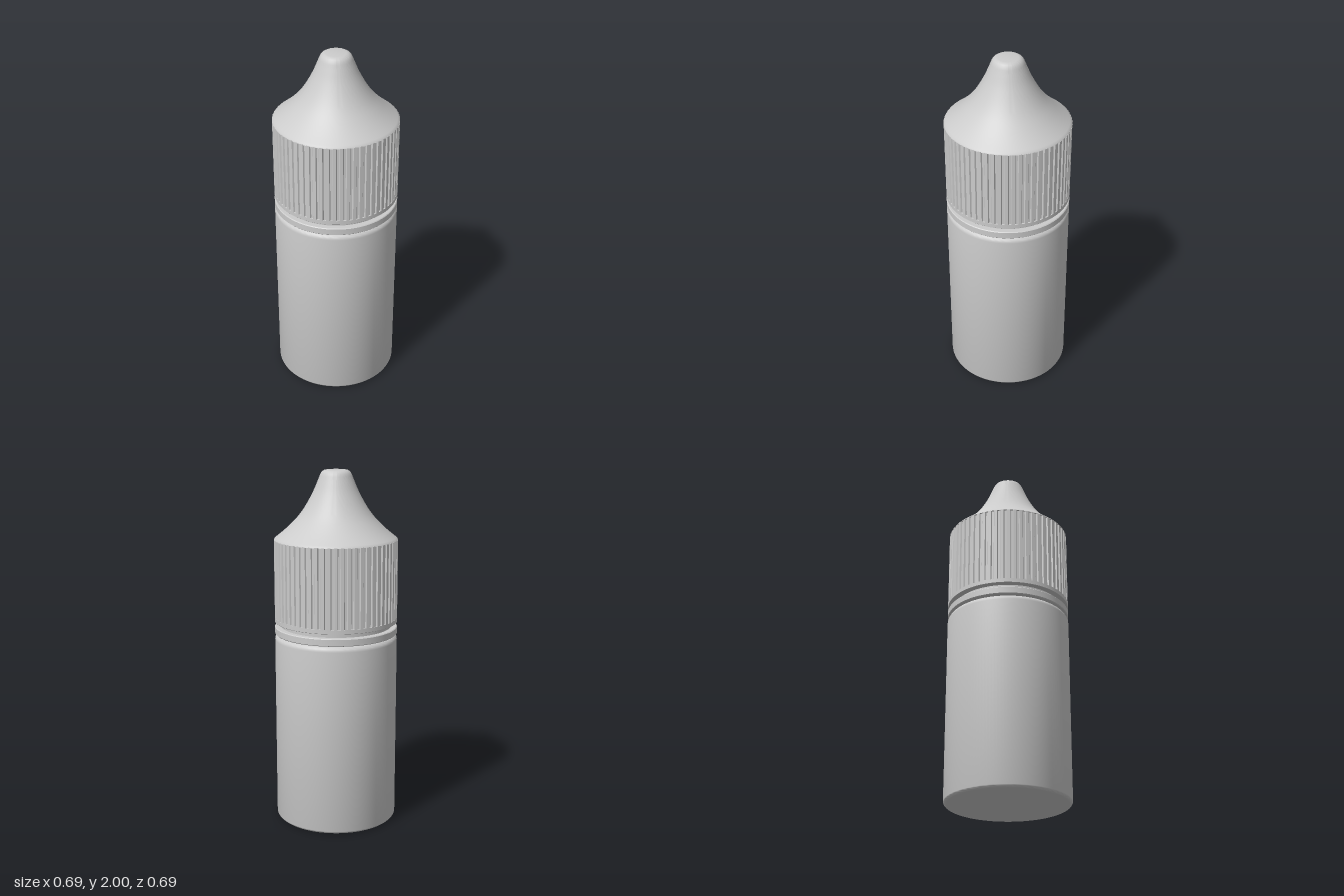
import * as THREE from 'three';
import { toCreasedNormals } from 'three/addons/utils/BufferGeometryUtils.js';

const R = 0.345;
const RIBS = 60;
const material = new THREE.MeshStandardMaterial({ color: 0xcccccc });

// Turned part from [radius, height] points, listed bottom to top
function turned(name, points) {
  const profile = points.map(([r, y]) => new THREE.Vector2(r, y));
  const mesh = new THREE.Mesh(toCreasedNormals(new THREE.LatheGeometry(profile, 120), 0.6), material);
  mesh.name = name;
  return mesh;
}

// Quarter-round corner points about (r, y) from angle a to angle b
function corner(r, y, radius, a, b, steps = 6) {
  return Array.from({ length: steps + 1 }, (_, i) => {
    const t = a + (b - a) * i / steps;
    return [r + radius * Math.cos(t), y + radius * Math.sin(t)];
  });
}

// Ribbed grip: a toothed outline extruded upward
function ribbedGrip(bottom, top) {
  const inner = R - 0.008;
  const shape = new THREE.Shape();
  const step = Math.PI * 2 / RIBS;
  for (let i = 0; i < RIBS; i++) {
    [[0, inner], [0.3, inner], [0.42, R], [0.88, R]].forEach(([f, r], k) => {
      const a = (i + f) * step;
      shape[i + k === 0 ? 'moveTo' : 'lineTo'](r * Math.cos(a), r * Math.sin(a));
    });
  }
  shape.closePath();
  const geometry = new THREE.ExtrudeGeometry(shape, { depth: top - bottom, bevelEnabled: false });
  geometry.rotateX(-Math.PI / 2).translate(0, bottom, 0);
  const mesh = new THREE.Mesh(toCreasedNormals(geometry, 0.3), material);
  mesh.name = 'ribbedGrip';
  return mesh;
}

export function createModel() {
  const group = new THREE.Group();
  group.name = 'dropperBottle';

  // Bottle with rounded base and shoulder
  group.add(turned('bottleBody', [
    [0, 0],
    ...corner(R - 0.02, 0.02, 0.02, -Math.PI / 2, 0),
    ...corner(R - 0.03, 1.055, 0.03, 0, Math.PI / 2),
    [0, 1.085],
  ]));

  // Neck, seen in the gaps around the tamper ring
  group.add(turned('neck', [[0, 1.07], [0.312, 1.07], [0.312, 1.17], [0, 1.17]]));

  // Tamper-evident ring
  group.add(turned('tamperRing', [
    [0.3, 1.088], [R - 0.004, 1.088], [R, 1.092], [R, 1.126], [R - 0.004, 1.13], [0.3, 1.13],
  ]));

  // Plain rim under the ribs
  group.add(turned('capRim', [
    [0.3, 1.156], [R - 0.002, 1.156], [R, 1.158], [R, 1.18], [0.3, 1.18],
  ]));

  group.add(ribbedGrip(1.18, 1.62));

  // Concave cone rising to a rounded tip
  const slope = new THREE.SplineCurve([
    [0.341, 1.625], [0.295, 1.662], [0.25, 1.703], [0.205, 1.752],
    [0.165, 1.81], [0.127, 1.88], [0.102, 1.938], [0.09, 1.968],
  ].map(([r, y]) => new THREE.Vector2(r, y)));
  group.add(turned('capCone', [
    [0, 1.618], [R, 1.618],
    ...slope.getPoints(28).map((p) => [p.x, p.y]),
    [0.085, 1.98], [0.077, 1.991], [0.066, 1.998], [0.055, 2], [0, 2],
  ]));

  return group;
}
